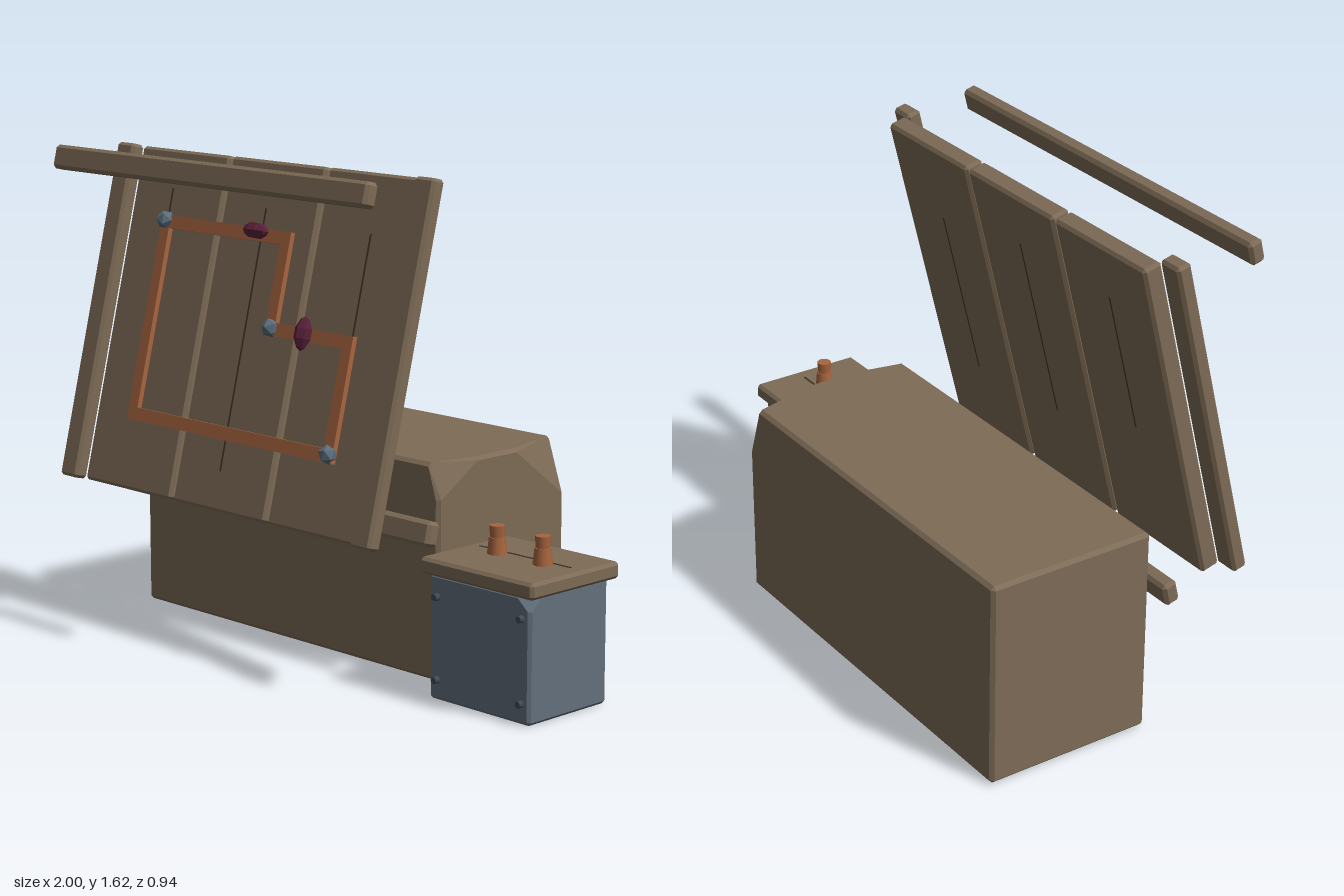
import * as THREE from 'three';
import { ConvexGeometry } from 'three/addons/geometries/ConvexGeometry.js';

const paint = (name, color, side = THREE.FrontSide) => {
  const m = new THREE.MeshStandardMaterial({ color, side });
  m.name = name;
  return m;
};

// Chamfered box from min/max corners. Each chip { s: corner signs, c: cut length per axis } breaks off a corner.
function chamferBox(min, max, b, chips = [], openBottom = false) {
  const h = min.map((v, i) => (max[i] - v) / 2);
  const mid = min.map((v, i) => (max[i] + v) / 2);
  const points = [];
  const add = (s, inset) => points.push(new THREE.Vector3(...s.map((sg, i) => mid[i] + sg * (h[i] - inset[i]))));
  for (const x of [-1, 1]) for (const y of [-1, 1]) for (const z of [-1, 1]) {
    const s = [x, y, z];
    const chip = chips.find((k) => k.s.every((v, i) => v === s[i]));
    for (let a = 0; a < 3; a++) {
      if (chip) {
        for (const other of [1, 2]) {
          const inset = [0, 0, 0];
          inset[a] = chip.c[a];
          inset[(a + other) % 3] = b;
          add(s, inset);
        }
      } else {
        const inset = [b, b, b];
        inset[a] = 0;
        add(s, inset);
      }
    }
  }
  const geo = new ConvexGeometry(points);
  if (!openBottom) return geo;
  // Leave out the triangles of the underside
  const pos = geo.attributes.position, nor = geo.attributes.normal, p = [], n = [];
  for (let i = 0; i < pos.count; i += 3) {
    if (nor.getY(i) < -0.95) continue;
    for (let j = i; j < i + 3; j++) {
      p.push(pos.getX(j), pos.getY(j), pos.getZ(j));
      n.push(nor.getX(j), nor.getY(j), nor.getZ(j));
    }
  }
  const open = new THREE.BufferGeometry();
  open.setAttribute('position', new THREE.Float32BufferAttribute(p, 3));
  open.setAttribute('normal', new THREE.Float32BufferAttribute(n, 3));
  return open;
}

export function createModel() {
  const wood = paint('wood', 0x7d6b56);
  const shellWood = paint('shell wood', 0x7d6b56, THREE.DoubleSide);
  const slate = paint('slate metal', 0x62707c, THREE.DoubleSide);
  const copper = paint('copper', 0xa7653f);
  const gem = paint('dark crimson', 0x582038);
  const knob = paint('blue steel', 0x5b6c7b);
  const bolt = paint('dark steel', 0x3f4a55);
  const groove = paint('groove', 0x40362b);

  const model = new THREE.Group();
  const put = (parent, name, geo, mat, x = 0, y = 0, z = 0) => {
    const m = new THREE.Mesh(geo, mat);
    m.name = name;
    m.position.set(x, y, z);
    parent.add(m);
    return m;
  };

  // Large base block with two broken corners, hollow below
  put(model, 'baseBlock', chamferBox([-0.95, 0.005, -0.47], [0.465, 0.705, 0.115], 0.012, [
    { s: [1, 1, -1], c: [0.07, 0.18, 0.23] },
    { s: [1, 1, 1], c: [0.045, 0.115, 0.175] },
  ], true), shellWood);

  // Leaning panel; local origin is the middle of the planks' front face
  const tilt = -THREE.MathUtils.degToRad(14);
  const panel = new THREE.Group();
  panel.name = 'panel';
  panel.position.set(0, 1.04, 0.272);
  panel.rotation.x = tilt;
  model.add(panel);
  const up = (y) => (y - 1.04) / 0.97;

  [[-0.925, -0.481], [-0.469, -0.021], [-0.009, 0.435]].forEach(([a, b]) =>
    put(panel, 'plank', chamferBox([a, -0.573, -0.067], [b, 0.573, 0], 0.01), wood));
  [[-1, -0.912], [0.42, 0.508]].forEach(([a, b]) =>
    put(panel, 'batten', chamferBox([a, -0.573, 0], [b, 0.573, 0.052], 0.01), wood));

  // Wood grain slits, front and back: x, bottom, top
  const slit = (x, y0, y1, z) =>
    put(panel, 'grainSlit', new THREE.BoxGeometry(0.007, y1 - y0, 0.003), groove, x, (y0 + y1) / 2, z);
  [[-0.73, up(0.8), up(1.47)], [-0.262, up(0.61), up(1.445)], [0.23, up(0.8), up(1.41)]].forEach(([x, a, b]) =>
    slit(x, a, b, 0));
  [[-0.71, -0.1, 0.39], [-0.25, -0.26, 0.39], [0.21, -0.3, 0.3]].forEach(([x, a, b]) => slit(x, a, b, -0.067));

  // Copper strips forming a closed stepped loop
  const loop = [[-0.72, 1.36], [-0.13, 1.36], [-0.13, 1.077], [0.228, 1.077], [0.228, 0.73], [-0.72, 0.73]];
  loop.forEach(([x0, y0], i) => {
    const [x1, y1] = loop[(i + 1) % loop.length];
    const w = 0.043;
    // Horizontal strips own the corners, vertical strips fit between them
    const flat = y0 === y1;
    put(panel, 'copperStrip', new THREE.BoxGeometry(
      flat ? Math.abs(x1 - x0) + w : w,
      flat ? w : Math.abs(up(y1) - up(y0)) - w, 0.018), copper,
    (x0 + x1) / 2, (up(y0) + up(y1)) / 2, 0.009);
  });

  // Knobs at loop corners
  [[-0.72, 1.365], [-0.125, 1.08], [0.23, 0.735]].forEach(([x, y], i) => {
    const k = put(panel, 'knob', new THREE.IcosahedronGeometry(0.032, 0), knob, x, up(y), 0.02);
    k.rotation.set(0.4 * i, 0.5, 0.7 * i);
  });

  // Two faceted spindle crystals set on the strips
  const spindle = new THREE.LatheGeometry(
    [[0, -0.056], [0.014, -0.046], [0.028, -0.016], [0.028, 0.016], [0.014, 0.046], [0, 0.056]]
      .map(([r, y]) => new THREE.Vector2(r, y)), 6).toNonIndexed();
  spindle.computeVertexNormals();
  put(panel, 'crystal', spindle, gem, -0.245, up(1.37), 0.045).rotation.z = Math.PI / 2;
  put(panel, 'crystal', spindle, gem, 0.053, up(1.08), 0.045);

  // Loose rails, parallel to the panel
  [['topRail', 1.574, 0.433], ['bottomRail', 0.495, 0.165]].forEach(([name, y, z]) => {
    const rail = chamferBox([-1, -0.04, -0.026], [0.495, 0.04, 0.026], 0.011);
    put(model, name, rail, wood, 0, y, z).rotation.x = tilt;
  });

  // Power box with wooden lid, hollow below
  const box = new THREE.Group();
  box.name = 'powerBox';
  model.add(box);
  put(box, 'boxBody', chamferBox([0.55, 0, -0.112], [0.97, 0.4, 0.24], 0.01, [
    { s: [1, 1, 1], c: [0.05, 0.045, 0.045] },
  ], true), slate);
  put(box, 'boxLid', chamferBox([0.525, 0.397, -0.137], [0.995, 0.45, 0.26], 0.01), wood);
  put(box, 'lidSlit', new THREE.BoxGeometry(0.38, 0.003, 0.007), groove, 0.753, 0.45, 0.03);

  // Terminals and corner bolts
  for (const x of [0.665, 0.855]) {
    put(box, 'terminalBase', new THREE.CylinderGeometry(0.026, 0.032, 0.055, 8), copper, x, 0.475, 0.06);
    put(box, 'terminalTop', new THREE.CylinderGeometry(0.025, 0.022, 0.042, 8), copper, x, 0.519, 0.06);
  }
  for (const x of [0.585, 0.937]) for (const y of [0.066, 0.33])
    put(box, 'bolt', new THREE.CylinderGeometry(0.011, 0.014, 0.03, 8), bolt, x, y, 0.242).rotation.x = Math.PI / 2;

  return model;
}
